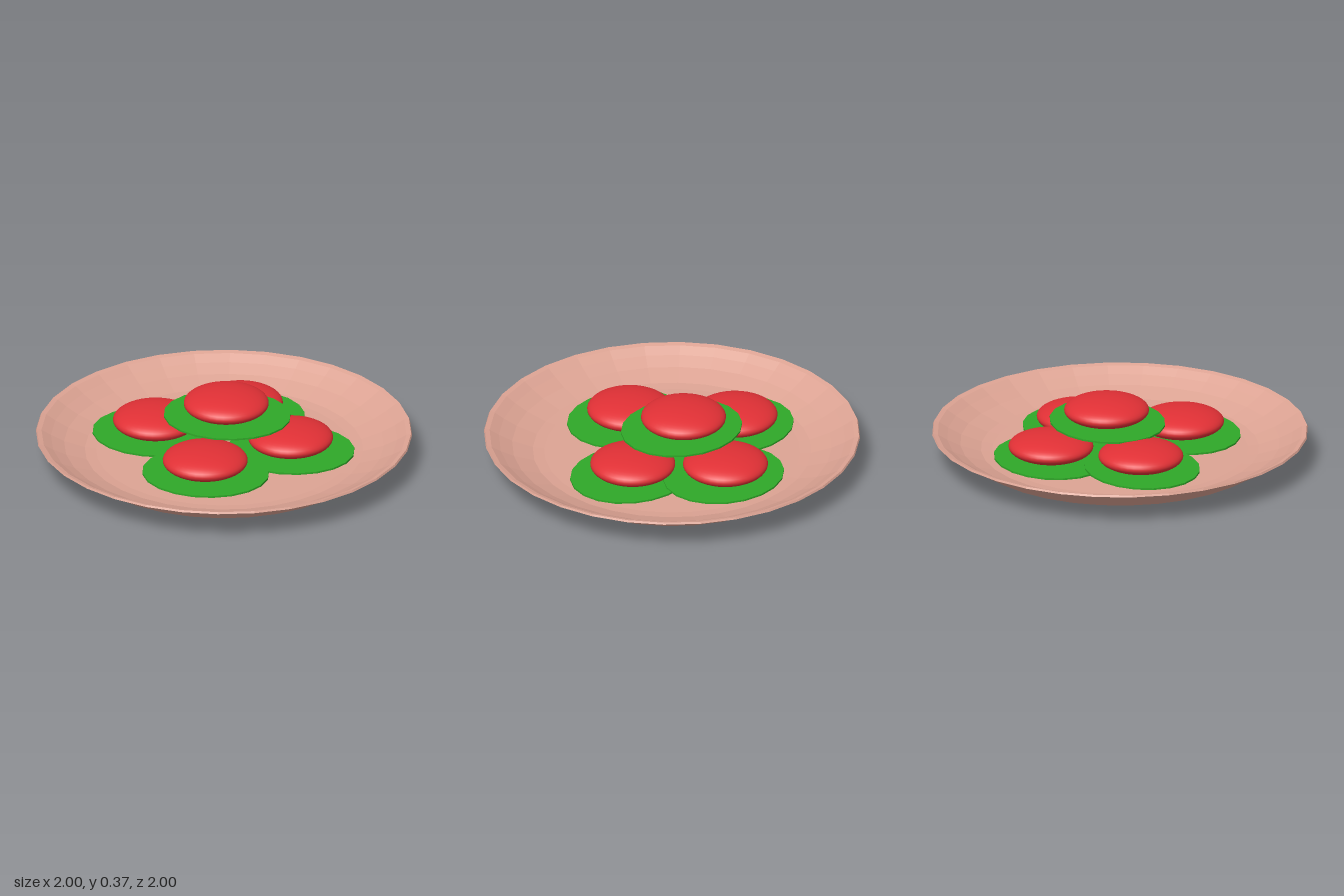
import * as THREE from 'three';

export function createModel() {
  const model = new THREE.Group();
  const plateMat = new THREE.MeshStandardMaterial({ color: 0xdca393, flatShading: true });
  const leafMat = new THREE.MeshStandardMaterial({ color: 0x2fa828, flatShading: true });
  const sliceMat = new THREE.MeshStandardMaterial({ color: 0xe03035 });

  // Plate: one closed profile, from the underside out over the rim to the floor
  const profile = [
    [0, 0], [0.6, 0], [0.7, 0.008], [0.78, 0.033], [0.89, 0.1], [1, 0.162],
    [0.995, 0.172], [0.97, 0.165], [0.92, 0.135], [0.85, 0.1], [0.74, 0.065], [0.68, 0.06], [0, 0.06],
  ].map(([r, y]) => new THREE.Vector2(r, y));
  const plate = new THREE.Mesh(new THREE.LatheGeometry(profile, 32), plateMat);
  plate.name = 'plate';
  model.add(plate);

  // Each serving is a flattened tomato resting on an oval lettuce leaf
  const leafGeo = new THREE.CylinderGeometry(1, 1, 0.01, 20);
  const tomatoGeo = new THREE.SphereGeometry(0.226, 40, 24);
  function addServing(name, x, y, z, dx, dz) {
    const serving = new THREE.Group();
    serving.name = name;
    serving.position.set(x, y, z);
    const leaf = new THREE.Mesh(leafGeo, leafMat);
    leaf.name = 'lettuceLeaf';
    leaf.scale.set(0.34, 1, 0.3);
    const tomato = new THREE.Mesh(tomatoGeo, sliceMat);
    tomato.name = 'tomato';
    tomato.scale.y = 0.31;
    tomato.position.set(dx, 0.068, dz);
    serving.add(leaf, tomato);
    model.add(serving);
  }
  addServing('rightServing', -0.385, 0.097, -0.06, -0.005, -0.01);
  addServing('leftServing', 0.352, 0.073, -0.06, -0.005, -0.01);
  addServing('backServing', 0, 0.08, -0.405, -0.007, -0.008);
  addServing('frontServing', -0.015, 0.097, 0.365, -0.005, -0.01);
  addServing('topServing', 0, 0.23, -0.075, -0.007, -0.008);

  return model;
}
